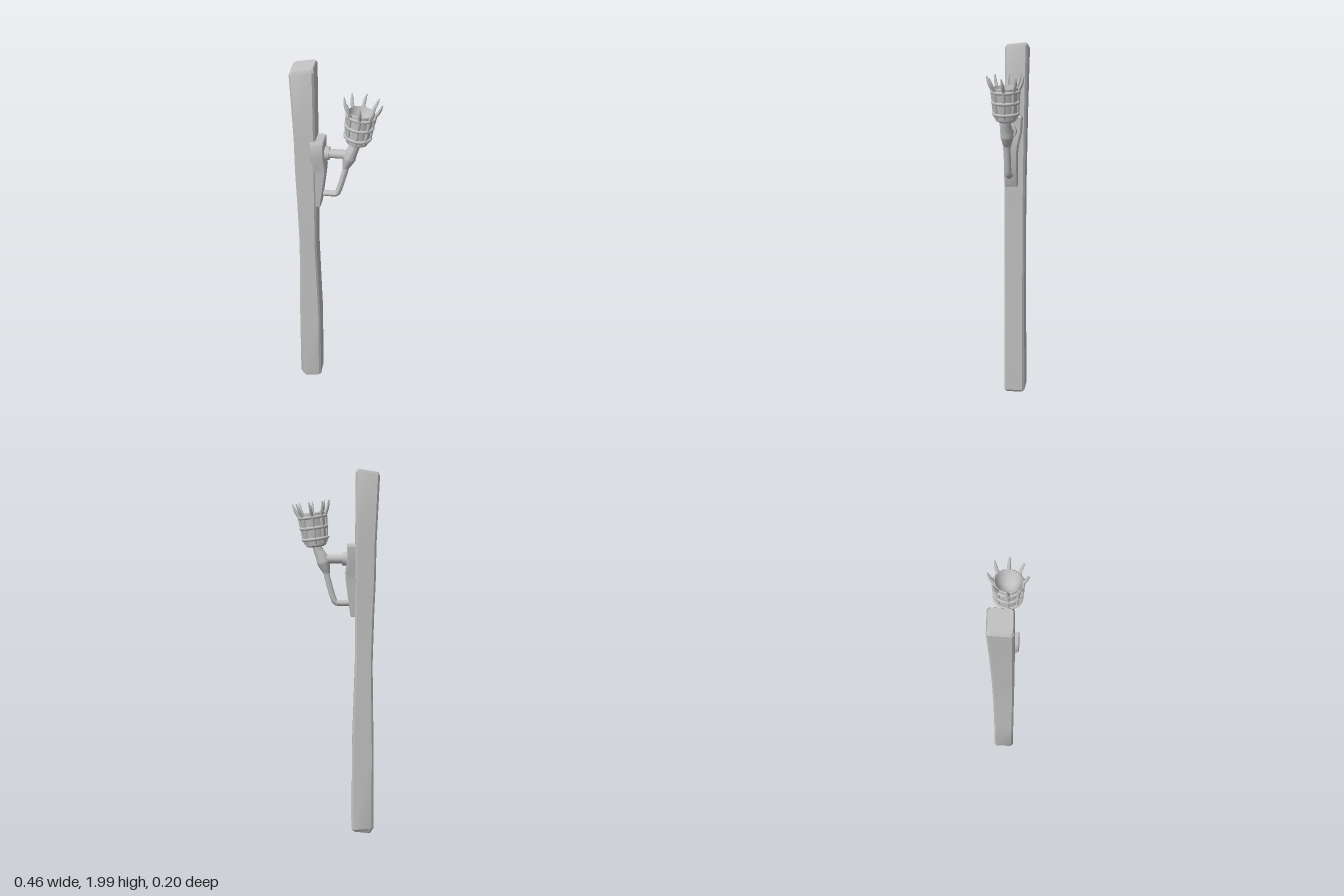
import * as THREE from 'three';
import { toCreasedNormals } from 'three/addons/utils/BufferGeometryUtils.js';

const V = (x, y, z = 0) => new THREE.Vector3(x, y, z);

// Chamfered rectangular sections stacked upwards:
// [y, x0, x1, z0, z1, chamfer, slope along x, slope along z]
function loft(sections) {
  const pos = [], index = [], n = 8;
  for (const [y, x0, x1, z0, z1, c, sx = 0, sz = 0] of sections) {
    const ring = [[x0 + c, z1], [x1 - c, z1], [x1, z1 - c], [x1, z0 + c],
      [x1 - c, z0], [x0 + c, z0], [x0, z0 + c], [x0, z1 - c]];
    for (const [x, z] of ring) {
      pos.push(x, y + sx * (x - (x0 + x1) / 2) + sz * (z - (z0 + z1) / 2), z);
    }
  }
  const last = (sections.length - 1) * n;
  for (let s = 0; s < last; s += n) {
    for (let i = 0; i < n; i++) {
      const j = (i + 1) % n;
      index.push(s + i, s + j, s + n + j, s + i, s + n + j, s + n + i);
    }
  }
  for (let i = 1; i < n - 1; i++) {
    index.push(0, i + 1, i, last, last + i, last + i + 1);
  }
  const g = new THREE.BufferGeometry();
  g.setAttribute('position', new THREE.Float32BufferAttribute(pos, 3));
  g.setIndex(index);
  return toCreasedNormals(g, 0.5);
}

// Tube whose radius follows evenly spaced values along its length
function taperTube(points, radii, steps = 16, sides = 10) {
  const curve = new THREE.CatmullRomCurve3(points, false, 'centripetal');
  const g = new THREE.TubeGeometry(curve, steps, 1, sides);
  const p = g.attributes.position, v = new THREE.Vector3();
  for (let i = 0; i <= steps; i++) {
    const centre = curve.getPointAt(i / steps);
    const t = (i / steps) * (radii.length - 1);
    const k = Math.min(Math.floor(t), radii.length - 2);
    const r = THREE.MathUtils.lerp(radii[k], radii[k + 1], t - k);
    for (let j = 0; j <= sides; j++) {
      const id = i * (sides + 1) + j;
      v.fromBufferAttribute(p, id).sub(centre).multiplyScalar(r).add(centre);
      p.setXYZ(id, v.x, v.y, v.z);
    }
  }
  g.computeVertexNormals();
  return g;
}

export function createModel() {
  const model = new THREE.Group();
  const grey = new THREE.MeshStandardMaterial({ color: 0xc0c0c0 });
  grey.name = 'grey';
  const add = (name, geometry, parent = model) => {
    const mesh = new THREE.Mesh(geometry, grey);
    mesh.name = name;
    parent.add(mesh);
    return mesh;
  };

  // Slightly crooked timber post with sloping ends
  add('post', loft([
    [0.010, -0.195, -0.098, -0.065, 0.035, 0.012, 0.12],
    [0.035, -0.213, -0.090, -0.078, 0.040, 0.012, -0.1],
    [0.50, -0.208, -0.090, -0.073, 0.040, 0.010],
    [0.98, -0.198, -0.104, -0.072, 0.040, 0.010],
    [1.25, -0.204, -0.102, -0.073, 0.040, 0.010],
    [1.42, -0.210, -0.103, -0.075, 0.039, 0.010],
    [1.62, -0.212, -0.102, -0.078, 0.038, 0.010],
    [1.970, -0.226, -0.103, -0.085, 0.036, 0.010, 0.16, -0.1],
    [1.985, -0.218, -0.110, -0.079, 0.030, 0.010, 0.16, -0.1],
  ]));

  // Wall plate, wide at the top and narrow at the foot
  add('mountingPlate', loft([
    [1.23, -0.107, -0.082, -0.034, 0.034, 0.004],
    [1.24, -0.108, -0.077, -0.036, 0.036, 0.005],
    [1.42, -0.108, -0.053, -0.037, 0.037, 0.006],
    [1.46, -0.112, -0.050, -0.042, 0.042, 0.006],
    [1.53, -0.129, -0.058, -0.058, 0.058, 0.006],
    [1.605, -0.129, -0.058, -0.062, 0.059, 0.006],
    [1.613, -0.125, -0.063, -0.058, 0.055, 0.005],
  ]));

  // Horizontal arm and its collar
  const arm = add('arm', new THREE.CylinderGeometry(0.023, 0.023, 0.13, 16));
  arm.rotation.z = Math.PI / 2;
  arm.position.set(0, 1.535, 0);
  const collar = add('armCollar', new THREE.CylinderGeometry(0.034, 0.037, 0.028, 16));
  collar.rotation.z = -Math.PI / 2;
  collar.position.set(-0.048, 1.535, 0);

  // Bent lower strut and the swollen elbow under the cup
  add('strut', taperTube([V(-0.09, 1.30), V(-0.02, 1.30), V(0.002, 1.303),
    V(0.012, 1.322), V(0.062, 1.50)], [0.016, 0.016], 24));
  add('elbow', taperTube([V(0.045, 1.455), V(0.06, 1.50), V(0.075, 1.545),
    V(0.092, 1.58), V(0.101, 1.61)], [0.015, 0.026, 0.035, 0.031, 0.026, 0.025], 20, 14));

  // Tilted torch cup
  const cup = new THREE.Group();
  cup.name = 'torchCup';
  cup.position.set(0.102, 1.6, 0);
  cup.rotation.z = -0.13;
  model.add(cup);
  const profile = [[0, 0], [0.042, 0], [0.054, 0.008], [0.058, 0.03], [0.061, 0.1],
    [0.066, 0.174], [0.063, 0.177], [0.059, 0.165], [0.048, 0.13], [0.028, 0.105], [0, 0.096]];
  add('bowl', toCreasedNormals(new THREE.LatheGeometry(
    profile.map(([r, y]) => new THREE.Vector2(r, y)), 24), 0.7), cup);

  // Cage hoops
  for (const [y, r] of [[0.042, 0.065], [0.1, 0.068], [0.155, 0.07]]) {
    const hoop = add('hoop', new THREE.TorusGeometry(r, 0.0085, 8, 16), cup);
    hoop.rotation.x = Math.PI / 2;
    hoop.position.y = y;
  }

  // Cage bars that end in flared prongs
  const prong = taperTube([V(0.054, 0.018), V(0.062, 0.06), V(0.065, 0.12), V(0.07, 0.165),
    V(0.083, 0.19, 0.001), V(0.09, 0.21, 0.003), V(0.096, 0.232, 0.006)],
  [0.007, 0.008, 0.008, 0.009, 0.010, 0.009, 0.0075, 0.003], 24, 8);
  for (let i = 0; i < 8; i++) {
    add('prong', prong, cup).rotation.y = (i * Math.PI) / 4;
  }
  return model;
}
